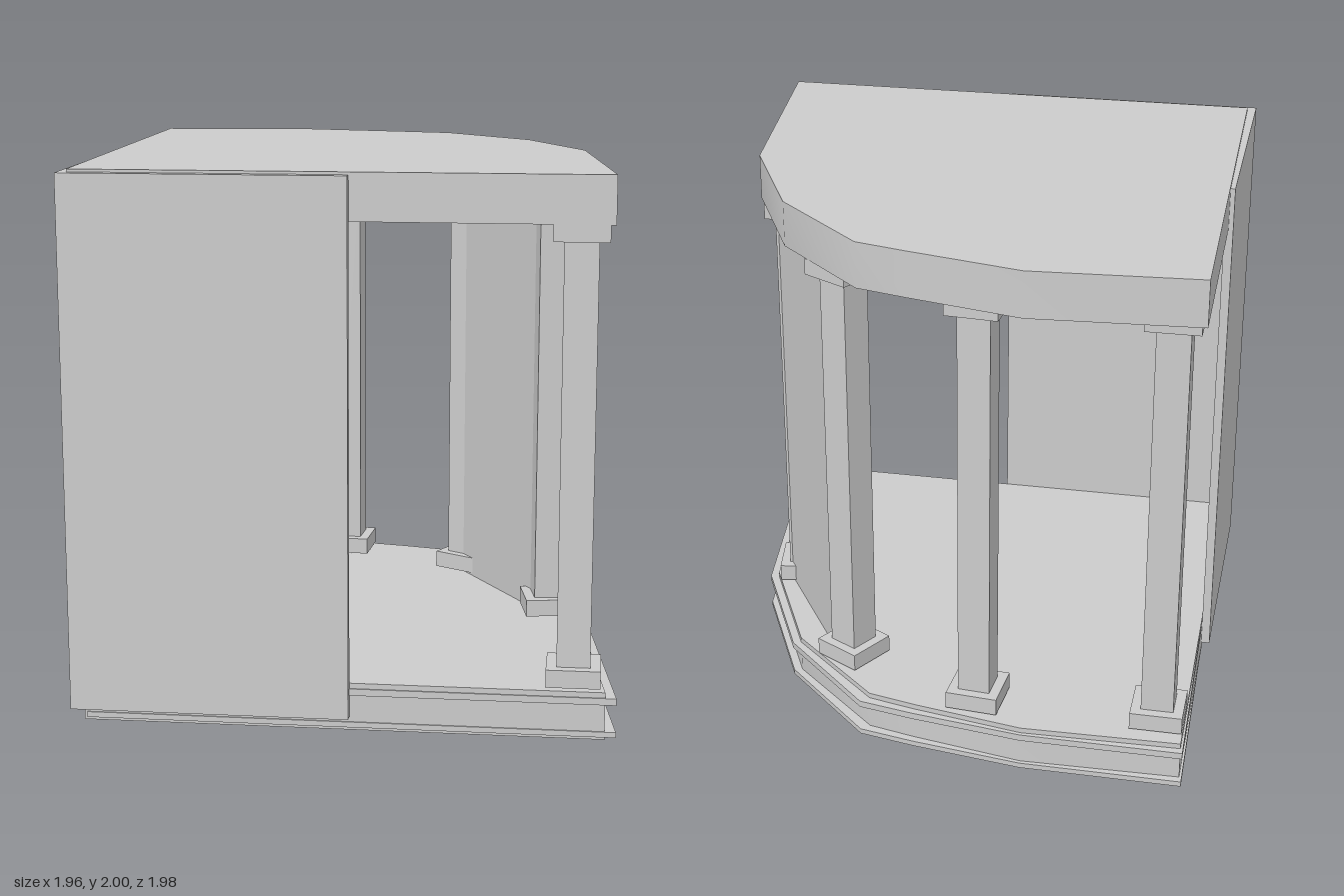
import * as THREE from 'three';
import { toCreasedNormals } from 'three/addons/utils/BufferGeometryUtils.js';

const material = new THREE.MeshStandardMaterial({ color: 0xcccccc });

const FLOOR = 0.175, CEILING = 1.83;

// Plan outlines as [x, z], running from the back corner along the curved side
const roofPlan = [[-0.98, -0.95], [-0.37, -0.99], [0.05, -0.89], [0.24, -0.84],
  [0.59, -0.5], [0.82, -0.02], [0.94, 0.95], [-0.95, 0.95]];
const basePlan = [[-0.96, -0.93], [-0.37, -0.945], [0.05, -0.87], [0.23, -0.83],
  [0.59, -0.5], [0.82, -0.02], [0.94, 0.95], [-0.94, 0.95]];
const lipPlan = [[-0.97, -0.96], [-0.37, -0.96], [0.05, -0.9], [0.26, -0.86],
  [0.62, -0.51], [0.855, -0.02], [0.98, 0.955], [-0.93, 0.955]];

export function createModel() {
  const model = new THREE.Group();
  model.name = 'corner pavilion';

  function add(parent, name, geometry) {
    const mesh = new THREE.Mesh(geometry, material);
    mesh.name = name;
    parent.add(mesh);
    return mesh;
  }

  // Horizontal slab of a plan outline between two heights
  function slab(name, plan, y0, y1) {
    const shape = new THREE.Shape(plan.map(([x, z]) => new THREE.Vector2(x, -z)));
    const geometry = new THREE.ExtrudeGeometry(shape, { depth: y1 - y0, bevelEnabled: false });
    geometry.rotateX(-Math.PI / 2).translate(0, y0, 0);
    add(model, name, toCreasedNormals(geometry, 0.6));
  }

  // Box given by its lower and upper corners
  function block(parent, name, [x0, y0, z0], [x1, y1, z1]) {
    const geometry = new THREE.BoxGeometry(x1 - x0, y1 - y0, z1 - z0);
    geometry.translate((x0 + x1) / 2, (y0 + y1) / 2, (z0 + z1) / 2);
    return add(parent, name, geometry);
  }

  // Square column with a foot and a capital
  function column(name, x, z, turn) {
    const group = new THREE.Group();
    group.name = name;
    const square = (part, half, y0, y1) =>
      block(group, part, [-half, y0, -half], [half, y1, half]);
    square('shaft', 0.06, FLOOR, CEILING);
    square('foot', 0.097, 0.185, 0.25);
    square('capital', 0.097, 1.77, CEILING);
    group.position.set(x, 0, z);
    group.rotation.y = turn;
    model.add(group);
  }

  // Stepped base and roof
  slab('base', basePlan, 0, FLOOR);
  slab('lowerLip', lipPlan, 0.01, 0.03);
  slab('upperLip', lipPlan, 0.13, 0.155);
  slab('roof', roofPlan, CEILING, 2);

  // Solid walls meeting at the front corner
  block(model, 'frontWall', [-0.98, 0.05, 0.95], [0.03, 1.99, 0.988]);
  block(model, 'sideWall', [-0.983, 0.05, -0.02], [-0.95, 1.99, 0.988]);

  // Columns around the open side
  column('frontColumn', 0.825, 0.85, 0);
  column('sideColumn', 0.71, 0.02, 0.17);
  column('cornerColumn', 0.355, -0.57, -0.52);
  column('backColumn', -0.18, -0.79, -0.08);
  column('farColumn', -0.86, -0.785, 0);

  // Screen wall between the side and corner columns
  const from = new THREE.Vector2(0.38, -0.54), to = new THREE.Vector2(0.72, 0);
  const span = to.clone().sub(from);
  const screen = add(model, 'screenWall',
    new THREE.BoxGeometry(span.length(), CEILING - FLOOR, 0.1));
  screen.position.set((from.x + to.x) / 2, (FLOOR + CEILING) / 2, (from.y + to.y) / 2);
  screen.rotation.y = -span.angle();

  return model;
}
